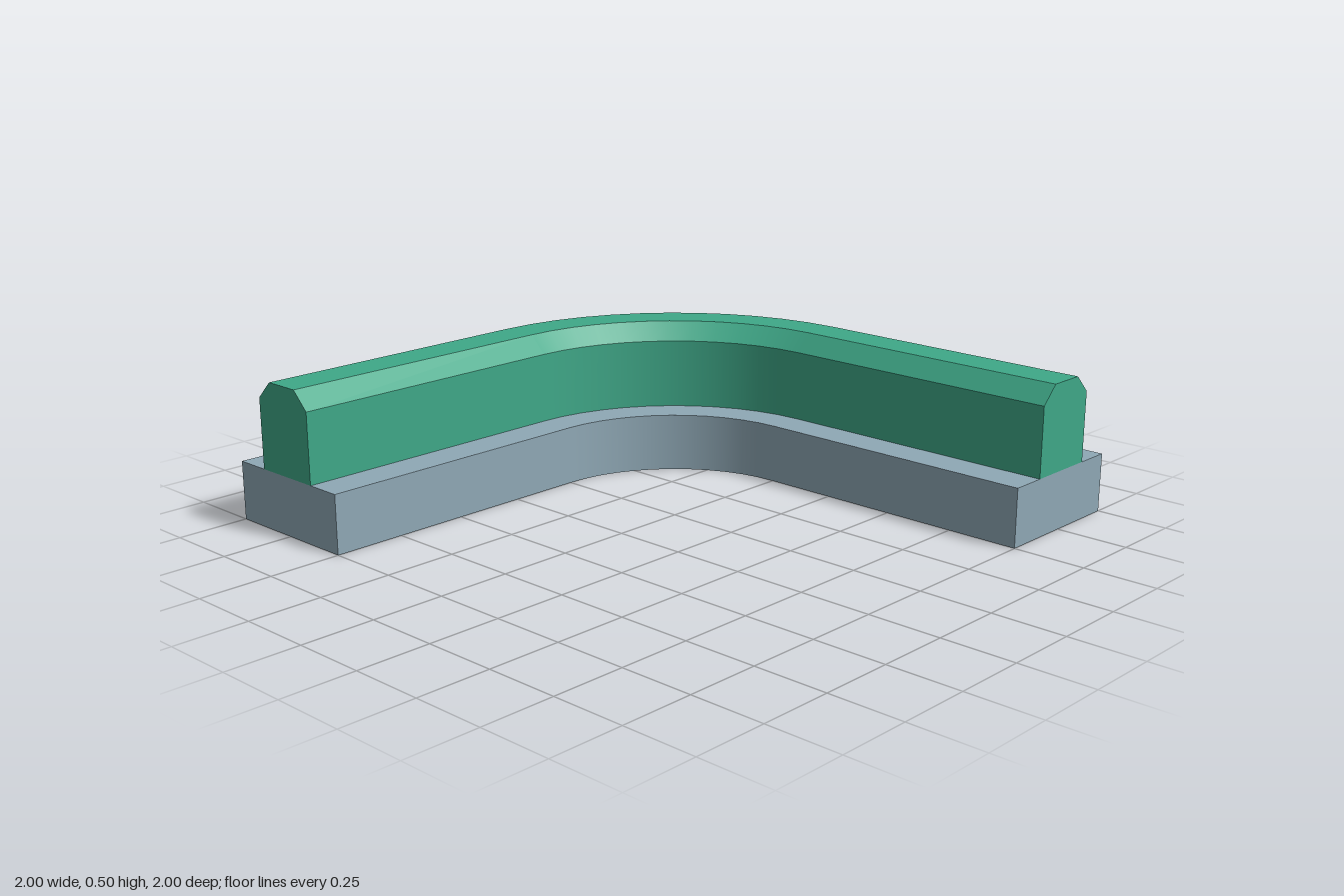
import * as THREE from 'three';

const ARC_STEPS = 12;

// Path frames: straight leg, quarter bend about the origin, straight leg.
// o is the frame's origin, d the outward direction across the track.
function pathFrames() {
  const frames = [{ o: [0, 1], d: [-1, 0] }];
  for (let i = 0; i <= ARC_STEPS; i++) {
    const t = (i / ARC_STEPS) * Math.PI / 2;
    frames.push({ o: [0, 0], d: [-Math.cos(t), -Math.sin(t)] });
  }
  frames.push({ o: [1, 0], d: [0, -1] });
  return frames;
}

// Sweep a convex counter-clockwise profile of [radius, height] points along the
// path: smooth along the bend, sharp across the profile's corners, capped ends.
function sweep(profile) {
  const frames = pathFrames();
  const pos = [], nor = [], idx = [];
  const add = (f, [r, y], n) => {
    pos.push(f.o[0] + r * f.d[0], y, f.o[1] + r * f.d[1]);
    nor.push(...n);
    return pos.length / 3 - 1;
  };

  profile.forEach((p, j) => {
    const q = profile[(j + 1) % profile.length];
    const len = Math.hypot(q[0] - p[0], q[1] - p[1]);
    const nr = (q[1] - p[1]) / len, ny = (p[0] - q[0]) / len;
    frames.forEach((f, i) => {
      const n = [nr * f.d[0], ny, nr * f.d[1]];
      const a = add(f, p, n);
      add(f, q, n);
      if (i > 0) idx.push(a - 2, a - 1, a, a - 1, a + 1, a);
    });
  });

  // End caps
  const cap = (f, n, flip) => {
    const ids = profile.map((p) => add(f, p, n));
    for (let k = 1; k < ids.length - 1; k++) {
      idx.push(ids[0], ids[flip ? k + 1 : k], ids[flip ? k : k + 1]);
    }
  };
  cap(frames[0], [0, 0, 1], true);
  cap(frames[frames.length - 1], [1, 0, 0], false);

  const g = new THREE.BufferGeometry();
  g.setAttribute('position', new THREE.Float32BufferAttribute(pos, 3));
  g.setAttribute('normal', new THREE.Float32BufferAttribute(nor, 3));
  g.setIndex(idx);
  return g;
}

function part(name, profile, color) {
  const mesh = new THREE.Mesh(sweep(profile), new THREE.MeshStandardMaterial({ color }));
  mesh.name = name;
  return mesh;
}

export function createModel() {
  const group = new THREE.Group();
  group.name = 'curvedWall';

  // Wide rectangular footing
  group.add(part('base', [[0.5, 0], [1, 0], [1, 0.2], [0.5, 0.2]], 0x8fa8b5));

  // Narrower wall with both top edges chamfered
  group.add(part('wall', [
    [0.625, 0.2], [0.875, 0.2], [0.875, 0.44],
    [0.815, 0.5], [0.685, 0.5], [0.625, 0.44],
  ], 0x3fa888));

  return group;
}
